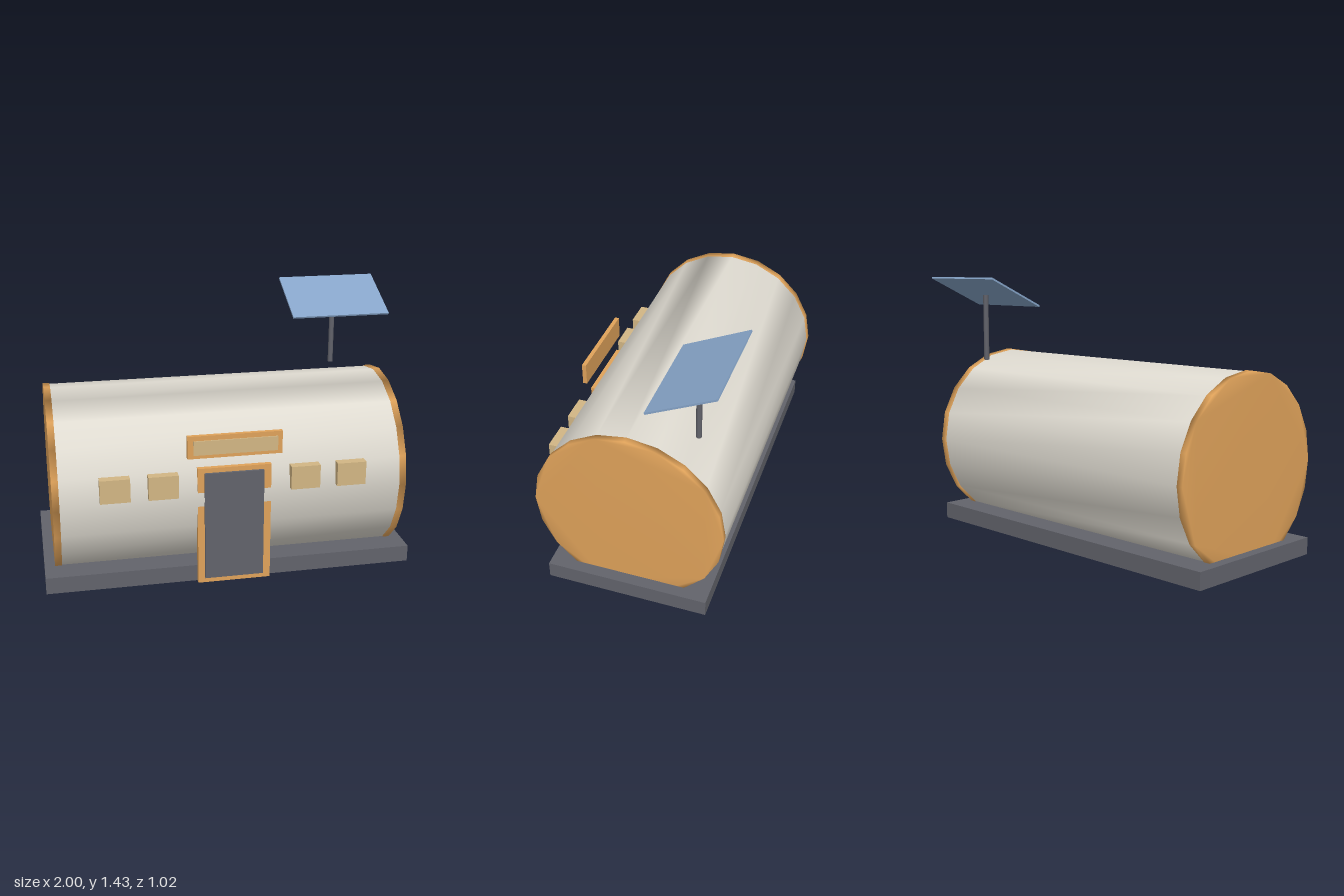
import * as THREE from 'three';
import { mergeVertices } from 'three/addons/utils/BufferGeometryUtils.js';

const mat = (name, color) => {
  const m = new THREE.MeshStandardMaterial({ color });
  m.name = name;
  return m;
};

export function createModel() {
  const group = new THREE.Group();
  const cream = mat('cream shell', 0xdedad0);
  const orange = mat('orange trim', 0xdfa25a);
  const dark = mat('dark grey', 0x62636b);
  const tan = mat('tan glass', 0xd2b684);
  const blue = mat('solar blue', 0x86a4c8);

  const add = (name, geometry, material) => {
    const mesh = new THREE.Mesh(geometry, material);
    mesh.name = name;
    group.add(mesh);
    return mesh;
  };

  // box given by its limits on each axis
  const box = (name, material, x0, x1, y0, y1, z0, z1) => {
    const mesh = add(name, new THREE.BoxGeometry(x1 - x0, y1 - y0, z1 - z0), material);
    mesh.position.set((x0 + x1) / 2, (y0 + y1) / 2, (z0 + z1) / 2);
    return mesh;
  };

  // 20-sided drum lying along x, with normals shared between sides and ends
  const drum = (name, material, radius, x0, x1) => {
    const points = [];
    for (let i = 0; i < 20; i++) {
      const a = (i / 20) * Math.PI * 2;
      points.push(new THREE.Vector2(Math.cos(a) * radius, Math.sin(a) * radius));
    }
    let g = new THREE.ExtrudeGeometry(new THREE.Shape(points), { depth: x1 - x0, bevelEnabled: false });
    g.deleteAttribute('uv');
    g.deleteAttribute('normal');
    g = mergeVertices(g, 1e-4);
    g.computeVertexNormals();
    g.rotateY(Math.PI / 2);
    add(name, g, material).position.set(x0, 0.5, -0.01);
  };

  // base slab and cylindrical cabin
  box('base', dark, -1, 0.97, 0.01, 0.1, -0.44, 0.42);
  drum('cabinShell', cream, 0.493, -0.93, 0.89);
  drum('rightEndCap', orange, 0.498, -0.945, -0.91);
  drum('leftEndCap', orange, 0.498, 0.873, 0.908);

  // door and its frame
  box('doorFrame', orange, -0.21, 0.175, 0.025, 0.67, 0.443, 0.477);
  box('door', dark, -0.175, 0.135, 0.055, 0.645, 0.47, 0.491);

  // sign board above the door
  box('signBoard', orange, -0.265, 0.225, 0.735, 0.855, 0.476, 0.499);
  box('signPanel', tan, -0.235, 0.2, 0.755, 0.83, 0.498, 0.507);

  // windows
  for (const x of [-0.633, -0.388, 0.352, 0.598]) {
    box('window', tan, x - 0.077, x + 0.077, 0.53, 0.655, 0.455, 0.507);
  }

  // solar panel on a pole
  const pole = add('solarPole', new THREE.CylinderGeometry(0.015, 0.015, 0.37, 8), dark);
  pole.position.set(0.718, 1.147, -0.318);
  const panel = add('solarPanel', new THREE.BoxGeometry(0.555, 0.01, 0.37), blue);
  panel.position.set(0.722, 1.35, -0.318);
  panel.rotation.x = 0.44;

  return group;
}
